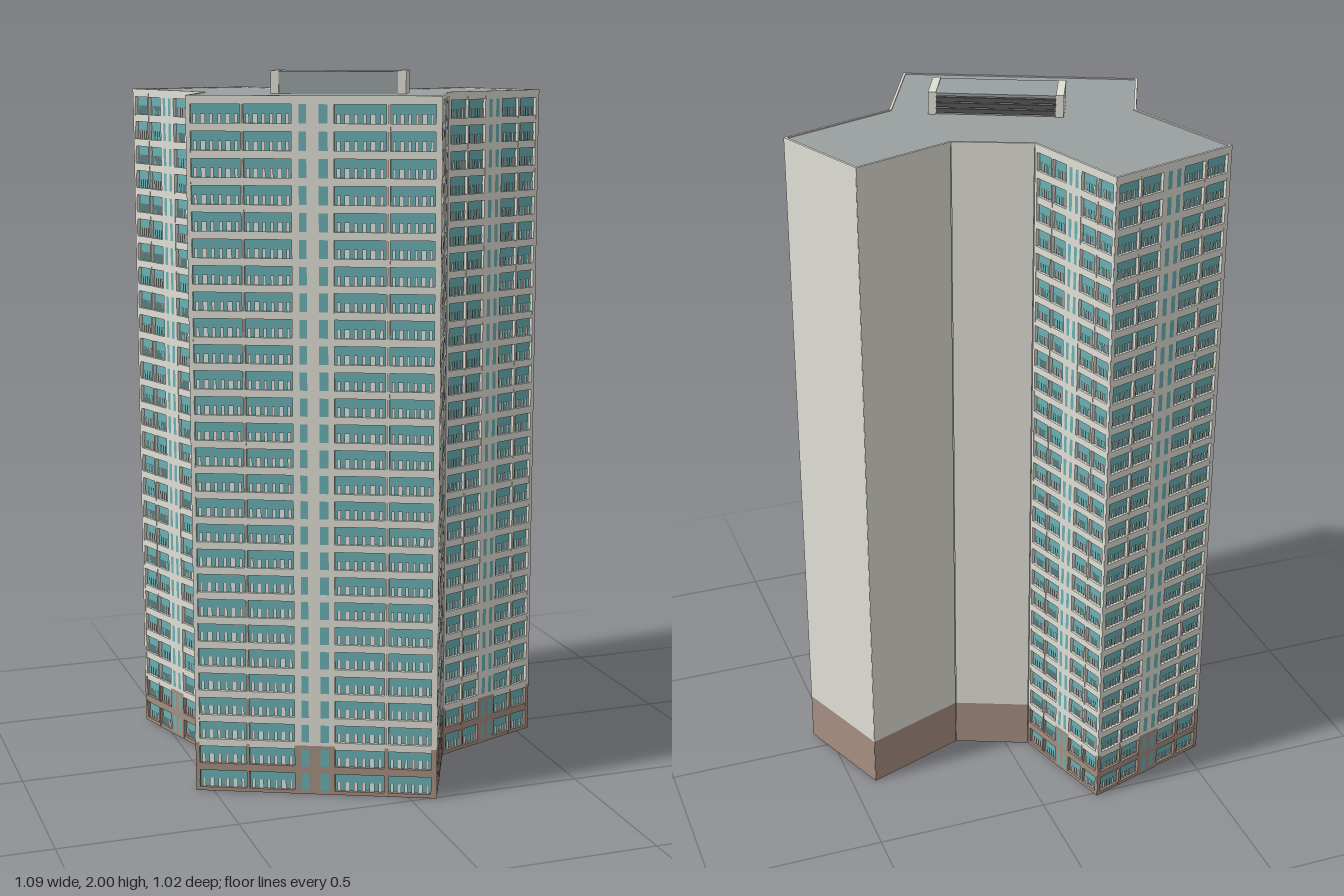
import * as THREE from 'three';
import { mergeGeometries } from 'three/addons/utils/BufferGeometryUtils.js';

const paint = (name, color) => {
  const m = new THREE.MeshStandardMaterial({ color });
  m.name = name;
  return m;
};
const MAT = {
  wall: paint('pale concrete', 0xe0dfd6),
  base: paint('brown base', 0xa68f81),
  roof: paint('grey roofing', 0x9aa0a0),
  glass: paint('teal glass', 0x6bb0b4),
  rail: paint('white frames', 0xf0f1ec),
  dark: paint('dark louvres', 0x555755),
};

const FLOORS = 27, FH = 0.0714, BASE = 2 * FH, EAVES = FLOORS * FH, TOP = 1.94;
const DEPTH = 0.012, HALF = 0.0105, RIM = 0.007;

// Footprint corners [x, z], walked so that the outside is on the right
const PLAN = [
  [-0.547, 0.226], [0.072, 0.508], [0.212, 0.2], [0.546, 0.07], [0.432, -0.222],
  [0.14, -0.115], [-0.065, -0.2], [-0.165, -0.513], [-0.547, -0.391], [-0.43, -0.03],
];

// Wide bays and narrow stair windows, as fractions of a wall's length
const LONG = {
  bays: [[0.017, 0.213], [0.225, 0.413], [0.58, 0.783], [0.8, 0.975]],
  slots: [[0.442, 0.472], [0.52, 0.556]],
};
const SHORT = {
  bays: [[0.03, 0.21], [0.228, 0.4], [0.585, 0.765], [0.79, 0.965]],
  slots: [[0.44, 0.475], [0.515, 0.55]],
};
const SIDES = [LONG, SHORT, SHORT, null, null, null, SHORT, SHORT, SHORT, null];

// Collects boxes and plates by material and merges each set into one named mesh
function collector() {
  const sets = {};
  const add = (mat, g) => (sets[mat] ??= []).push(g);
  return {
    box(mat, x0, x1, y0, y1, z0, z1) {
      add(mat, new THREE.BoxGeometry(x1 - x0, y1 - y0, z1 - z0)
        .translate((x0 + x1) / 2, (y0 + y1) / 2, (z0 + z1) / 2));
    },
    plate(mat, x0, x1, y0, y1, z) {
      add(mat, new THREE.PlaneGeometry(x1 - x0, y1 - y0).translate((x0 + x1) / 2, (y0 + y1) / 2, z));
    },
    build(name, names) {
      const group = new THREE.Group();
      group.name = name;
      for (const mat in sets) {
        const mesh = new THREE.Mesh(mergeGeometries(sets[mat]), MAT[mat]);
        mesh.name = names[mat];
        group.add(mesh);
      }
      return group;
    },
  };
}

// Moves every edge of the plan inward by d
function inset(points, d) {
  const n = points.length;
  const inward = (a, b) => new THREE.Vector2(b[1] - a[1], a[0] - b[0]).normalize();
  return points.map((p, i) => {
    const u = inward(points[(i + n - 1) % n], p), v = inward(p, points[(i + 1) % n]);
    const k = d / (1 + u.dot(v));
    return [p[0] + (u.x + v.x) * k, p[1] + (u.y + v.y) * k];
  });
}

// Upright prism over a plan, optionally hollow
function prism(name, mat, points, y0, y1, hole) {
  const toShape = (pts) => pts.map(([x, z]) => new THREE.Vector2(x, -z));
  const shape = new THREE.Shape(toShape(points));
  if (hole) shape.holes.push(new THREE.Path(toShape(hole)));
  const g = new THREE.ExtrudeGeometry(shape, { depth: y1 - y0, bevelEnabled: false });
  const mesh = new THREE.Mesh(g.rotateX(-Math.PI / 2).translate(0, y0, 0), mat);
  mesh.name = name;
  return mesh;
}

// Wall with no windows: brown foot, corner strips, one panel per floor
function plainWall(c, len) {
  const a = 0.001, b = len - 0.001, strip = 0.012;
  c.box('base', a, b, 0, BASE, -DEPTH, 0);
  c.box('wall', a, strip, BASE, EAVES, -DEPTH, 0);
  c.box('wall', len - strip, b, BASE, EAVES, -DEPTH, 0);
  for (let f = 2; f < FLOORS; f++) c.plate('wall', strip, len - strip, f * FH, (f + 1) * FH, 0);
}

// Wall with recessed glass between piers and spandrels
function windowWall(c, len, { bays, slots }) {
  c.plate('glass', 0.006, len - 0.006, 0.002, EAVES, -DEPTH + 0.002);

  // Piers fill the gaps between bays
  const edges = [0.001 / len, ...bays.flat(), 1 - 0.001 / len];
  for (let i = 0; i < edges.length; i += 2) {
    const a = edges[i] * len, b = edges[i + 1] * len;
    c.box('base', a, b, 0, BASE, -DEPTH, 0);
    c.box('wall', a, b, BASE, EAVES, -DEPTH, 0);
  }

  for (let f = 0; f < FLOORS; f++) {
    const y = f * FH, sill = y + HALF, head = y + FH - HALF;
    for (const [f0, f1] of bays) {
      const a = f0 * len, b = f1 * len, w = b - a;
      // Spandrel between this floor's window and the one below
      c.box(f < 2 ? 'base' : 'wall', a, b, Math.max(0, y - HALF), sill, -DEPTH, -0.0005);
      if (f === FLOORS - 1) c.box('wall', a, b, head, EAVES, -DEPTH, -0.0005);
      // White balcony bars over the lower half of the glass
      for (let k = 0; k < 6; k++) {
        const x = a + (w * (k + 0.5)) / 6, r = w * (k % 3 === 1 ? 0.052 : 0.035);
        c.plate('rail', x - r, x + r, sill, y + 0.036, -0.006);
      }
    }
    // Narrow stair windows set flush in the middle pier
    for (const [f0, f1] of slots) c.plate('glass', f0 * len, f1 * len, sill, head, 0.0008);
    // Brown infill between paired bays
    for (const i of [0, 2]) {
      const x = ((bays[i][1] + bays[i + 1][0]) / 2) * len;
      c.plate('base', x - 0.002, x + 0.002, sill, head, 0.0008);
    }
  }
}

// Rooftop plant room: pale end caps, plain front, louvred back
function plantRoom() {
  const c = collector(), L = 0.186, W = 0.068, y0 = TOP - 0.005, e = L - 0.022;
  c.box('wall', -L, -e, y0, 2, -W, W);
  c.box('wall', e, L, y0, 2, -W, W);
  c.box('roof', -e, e, y0, 1.99, -W + 0.006, W - 0.003);
  c.box('roof', -e, e, 1.99, 1.998, -W, W);
  for (let i = 0; i < 3; i++) {
    const y = TOP + 0.002 + i * 0.016;
    c.box('dark', -e, e, y, y + 0.012, -W + 0.001, -W + 0.006);
  }
  const g = c.build('plantRoom', { wall: 'plantRoomEnds', roof: 'plantRoomBody', dark: 'plantRoomLouvres' });
  g.position.set(-0.076, 0, 0.116);
  g.rotation.y = -Math.atan2(0.28, 0.615);
  return g;
}

export function createModel() {
  const model = new THREE.Group();
  model.name = 'towerBlock';

  // Solid core, roof deck and the thin parapet around it
  const rim = inset(PLAN, RIM);
  model.add(
    prism('core', MAT.wall, inset(PLAN, DEPTH - 0.001), 0, EAVES),
    prism('roofDeck', MAT.roof, rim, EAVES - 0.002, TOP - 0.003),
    prism('parapet', MAT.wall, PLAN, EAVES, TOP, rim),
  );

  // One facade along each side of the plan
  PLAN.forEach((a, i) => {
    const b = PLAN[(i + 1) % PLAN.length], side = SIDES[i];
    const dx = b[0] - a[0], dz = b[1] - a[1], len = Math.hypot(dx, dz);
    const c = collector();
    if (side) windowWall(c, len, side);
    else plainWall(c, len);
    const wall = c.build((side ? 'windowWall' : 'plainWall') + (i + 1), {
      wall: 'concretePanels', base: 'brownPanels', glass: 'windowGlass', rail: 'balconyBars',
    });
    wall.position.set(a[0], 0, a[1]);
    wall.rotation.y = Math.atan2(-dz, dx);
    model.add(wall);
  });

  model.add(plantRoom());
  return model;
}
